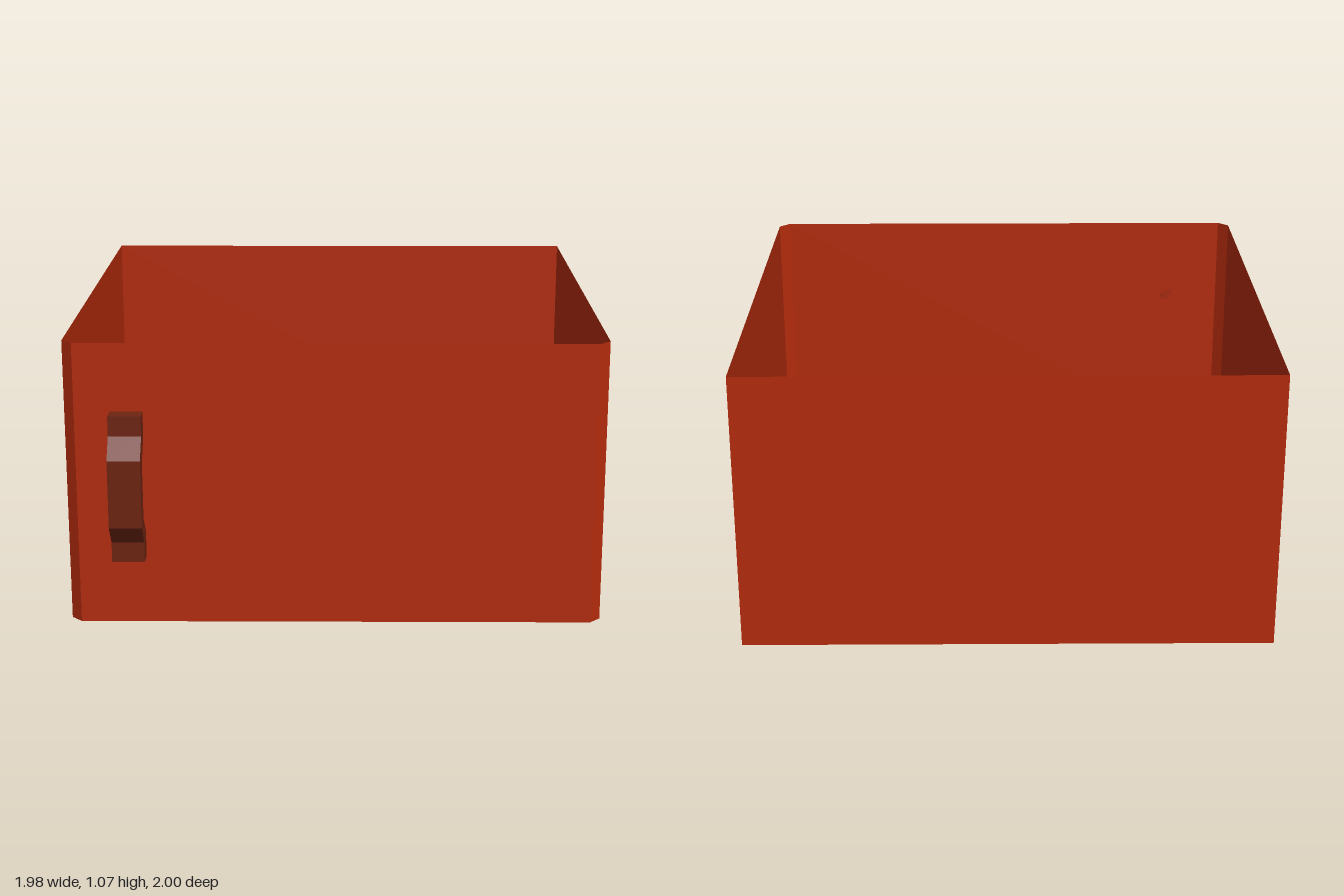
import * as THREE from 'three';

const HEIGHT = 1.07;

// Floor plan (x, z): square back corners, chamfered front corners
const PLAN = [
  [-0.99, -1], [-0.99, 0.835], [-0.95, 0.875],
  [0.95, 0.875], [0.99, 0.835], [0.99, -1],
].map(([x, z]) => new THREE.Vector2(x, z));

// Bracket handle, side profile (z, y)
const HANDLE = [
  [0.875, 0.26], [0.94, 0.26], [0.94, 0.335], [1.0, 0.41], [1.0, 0.665], [0.94, 0.74],
  [0.94, 0.815], [0.875, 0.815], [0.875, 0.72], [0.94, 0.645], [0.94, 0.43], [0.875, 0.355],
].map(([z, y]) => new THREE.Vector2(z, y));

export function createModel() {
  const model = new THREE.Group();
  model.name = 'drawer';

  const redWood = new THREE.MeshStandardMaterial({ color: 0xb32b0c, side: THREE.DoubleSide });
  redWood.name = 'redWood';
  const darkWood = new THREE.MeshStandardMaterial({ color: 0x6e2410 });
  darkWood.name = 'darkWood';

  // Thin open-topped walls, one sheet for each edge of the plan
  const walls = new THREE.Group();
  walls.name = 'walls';
  PLAN.forEach((a, i) => {
    const b = PLAN[(i + 1) % PLAN.length];
    const wall = new THREE.Mesh(new THREE.PlaneGeometry(a.distanceTo(b), HEIGHT), redWood);
    wall.name = 'wall' + (i + 1);
    wall.position.set((a.x + b.x) / 2, HEIGHT / 2, (a.y + b.y) / 2);
    wall.rotation.y = -Math.atan2(b.y - a.y, b.x - a.x);
    walls.add(wall);
  });
  model.add(walls);

  // Floor sheet
  const floor = new THREE.Mesh(
    new THREE.ShapeGeometry(new THREE.Shape(PLAN)).rotateX(Math.PI / 2), redWood);
  floor.name = 'floor';
  model.add(floor);

  // Handle on the front, near the right edge
  const handle = new THREE.Mesh(
    new THREE.ExtrudeGeometry(new THREE.Shape(HANDLE), { depth: 0.12, bevelEnabled: false })
      .rotateY(-Math.PI / 2), darkWood);
  handle.name = 'handle';
  handle.position.x = -0.7;
  model.add(handle);

  return model;
}
